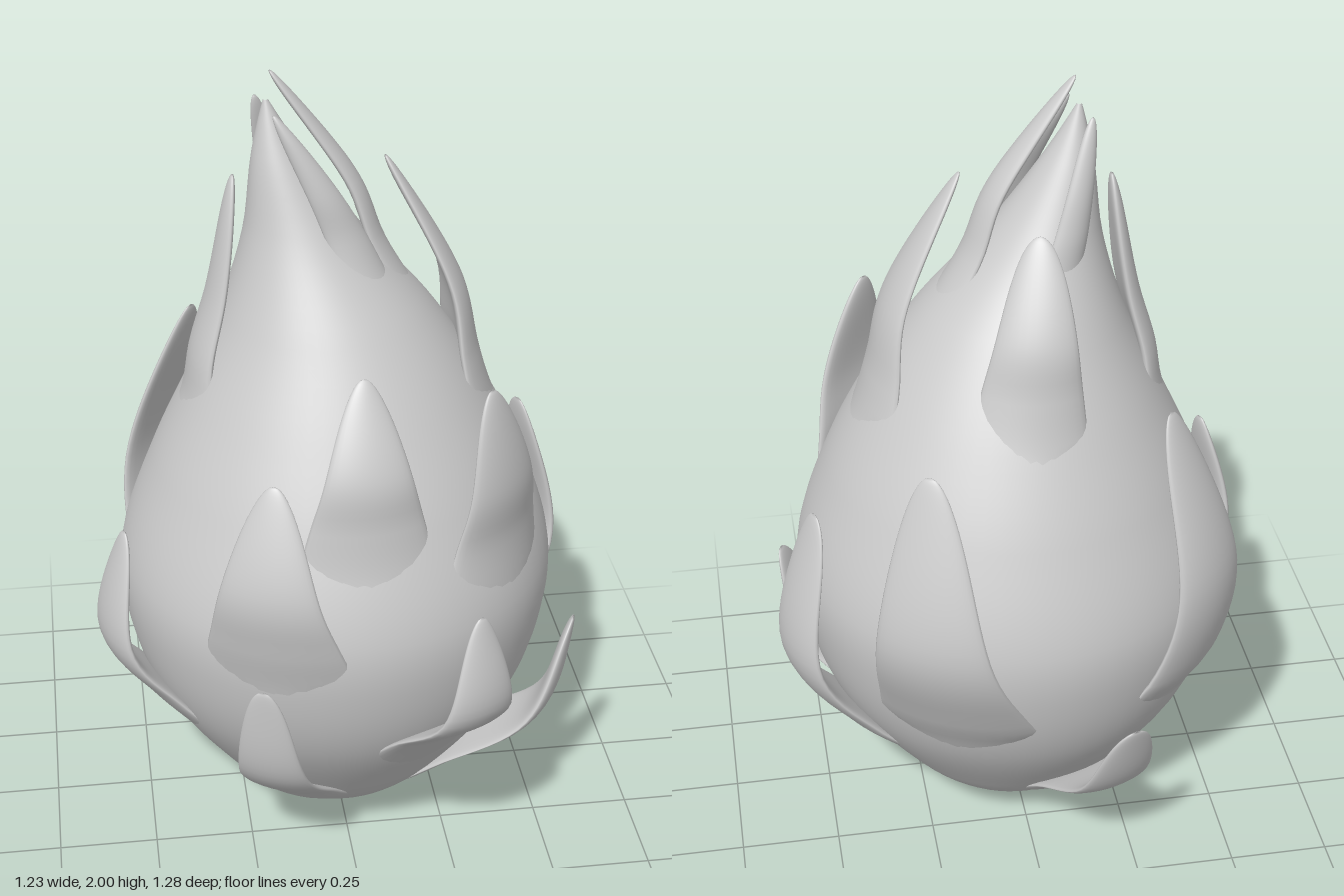
import * as THREE from 'three';
import { ParametricGeometry } from 'three/addons/geometries/ParametricGeometry.js';

// Body profile: radius by height, and the sideways lean of its axis
const bodyRadius = new THREE.CubicInterpolant(
  [0, 0.02, 0.05, 0.1, 0.2, 0.4, 0.6, 0.75, 1.0, 1.2, 1.4, 1.6, 1.8, 1.93],
  [0.003, 0.12, 0.2, 0.265, 0.35, 0.48, 0.54, 0.545, 0.465, 0.37, 0.26, 0.145, 0.06, 0.006], 1);
const bodyLean = new THREE.CubicInterpolant(
  [0, 0.6, 1.2, 1.4, 1.6, 1.8, 1.93, 2.1],
  [0, 0, 0, -0.02, -0.075, -0.135, -0.16, -0.18], 1);
const radiusAt = (y) => bodyRadius.evaluate(y)[0];
const leanAt = (y) => bodyLean.evaluate(y)[0];

// Point on the body surface; angle 0 is the front, 90 degrees the model's left
function onBody(angle, y, lift, target = new THREE.Vector3()) {
  const r = radiusAt(y) + lift;
  return target.set(leanAt(y) + r * Math.sin(angle), y, r * Math.cos(angle));
}

// Horizontal direction away from the leaning axis
function outward(p) {
  return new THREE.Vector3(p.x - leanAt(p.y), 0, p.z).normalize();
}

// Leaf-like scale: swells out of the body, bulges, and ends in a rounded tip
function scaleGeometry(degrees, baseY, halfWidth, tipXYZ, bulge, blunt) {
  const angle = THREE.MathUtils.degToRad(degrees);
  const root = onBody(angle, Math.max(baseY - 0.2, 0.04), -0.035);
  const seat = onBody(angle, baseY - 0.08, -0.025);
  const base = onBody(angle, baseY + 0.04, 0.012);
  const tip = new THREE.Vector3(...tipXYZ);
  const middle = base.clone().lerp(tip, 0.35);
  middle.addScaledVector(outward(middle), bulge);
  const spine = new THREE.CatmullRomCurve3([root, seat, base, middle, tip]);
  const tipOut = outward(tip);
  const baseOut = outward(base);

  return new ParametricGeometry((u, v, target) => {
    const t = 1 - (1 - v) ** 1.5;
    const c = spine.getPointAt(t);
    const n = baseOut.clone().lerp(tipOut, t).normalize();
    const theta = -2 * Math.PI * u;
    const round = Math.sqrt(Math.max(1 - t ** 10, 0.0005));
    const narrowing = 1 - (1 - blunt) * Math.max((t - 0.22) / 0.78, 0);
    const w = halfWidth * narrowing * Math.min(0.5 + 2.5 * t, 1) * round;
    const thick = Math.min(0.03 - 0.014 * t, halfWidth * 0.25) * round;
    const side = w * Math.cos(theta);
    // Wrap the cross-section around the body
    const wrapRadius = Math.max(Math.hypot(c.x - leanAt(c.y), c.z), 0.12);
    const depth = thick * Math.sin(theta) - side * side / (2 * wrapRadius);
    target.set(c.x + n.z * side + n.x * depth, c.y, c.z - n.x * side + n.z * depth);
  }, 28, 32);
}

// Base angle, base height, half width, tip, bulge, tip width ratio
const scales = {
  lowerScale: [
    [24, 0.4, 0.17, [0.27, 0.85, 0.58], 0.1, 0.25],
    [-25, 0.16, 0.13, [-0.24, 0.64, 0.52], 0.08, 0.4],
    [112, 0.34, 0.14, [0.51, 1.0, -0.2], 0.11, 0.5],
    [62, 0.15, 0.15, [0.58, 0.6, 0.24], 0.1, 0.4],
    [-70, 0.42, 0.16, [-0.54, 0.92, 0.2], 0.08, 0.3],
    [-160, 0.16, 0.13, [-0.2, 0.58, -0.63], 0.08, 0.5],
  ],
  middleScale: [
    [-23, 0.72, 0.19, [-0.2, 1.17, 0.46], 0.04, 0.25],
    [2, 1.0, 0.165, [0.02, 1.38, 0.36], 0.03, 0.25],
    [46, 0.9, 0.19, [0.32, 1.33, 0.36], 0.02, 0.25],
    [155, 0.54, 0.2, [0.26, 1.25, -0.46], 0.09, 0.3],
    [-132, 0.56, 0.19, [-0.33, 1.27, -0.31], 0.07, 0.3],
  ],
  upperScale: [
    [-90, 1.27, 0.13, [-0.24, 1.75, 0], -0.01, 0.3],
    [90, 1.25, 0.17, [0.12, 1.78, 0], 0.035, 0.17],
    [178, 1.3, 0.14, [-0.04, 1.69, -0.18], 0.025, 0.35],
  ],
  crownScale: [
    [90, 1.54, 0.085, [-0.15, 2.0, 0], 0.03, 0.3],
    [42, 1.58, 0.07, [-0.15, 1.92, 0.08], 0.01, 0.25],
    [-165, 1.62, 0.055, [-0.18, 1.92, -0.06], 0.005, 0.35],
  ],
};

export function createModel() {
  const model = new THREE.Group();
  model.name = 'scalyFruit';
  const material = new THREE.MeshStandardMaterial({ color: 0xcccccc });

  // Teardrop body with a leaning tip
  const bodyGeometry = new ParametricGeometry((u, v, target) => {
    onBody(2 * Math.PI * u, 1.93 * v ** 1.6, 0, target);
  }, 64, 72);
  const body = new THREE.Mesh(bodyGeometry, material);
  body.name = 'body';
  model.add(body);

  // Rings of scales
  for (const [name, list] of Object.entries(scales)) {
    list.forEach((spec, i) => {
      const mesh = new THREE.Mesh(scaleGeometry(...spec), material);
      mesh.name = `${name}${i + 1}`;
      model.add(mesh);
    });
  }
  return model;
}
